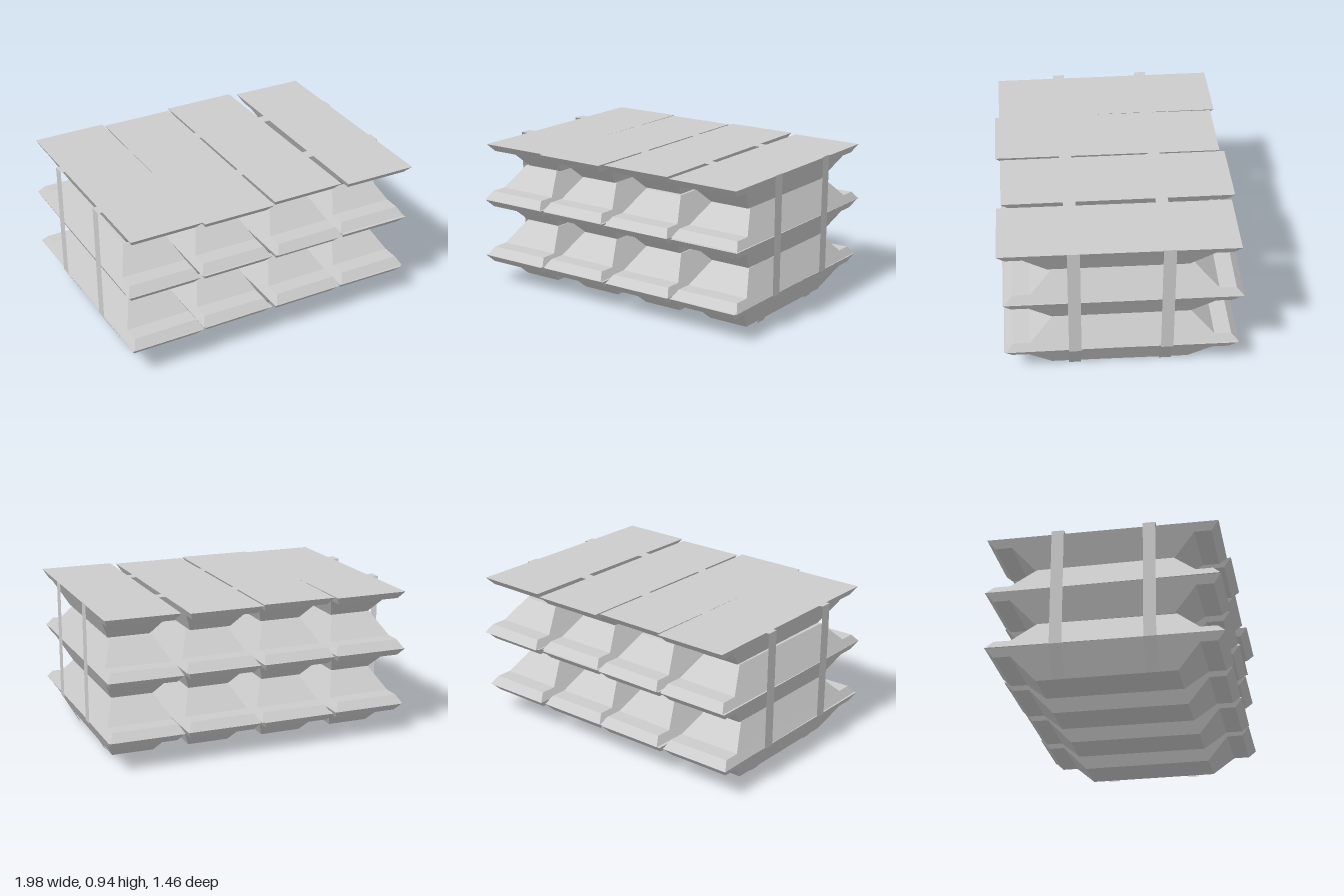
import * as THREE from 'three';

// Half-widths and half-lengths of an ingot from its wide face (y = 0) to its narrow face
const SECTIONS = [
  { y: 0, hx: 0.235, hz: 0.712 },
  { y: 0.05, hx: 0.207, hz: 0.665 },
  { y: 0.05, hx: 0.207, hz: 0.562 },
  { y: 0.185, hx: 0.132, hz: 0.422 },
];

function geometryFrom(positions) {
  const g = new THREE.BufferGeometry();
  g.setAttribute('position', new THREE.Float32BufferAttribute(positions, 3));
  g.computeVertexNormals();
  return g;
}

// Tapered bar with a carrying lug at each end, lofted through the sections
function ingotGeometry() {
  const rings = SECTIONS.map(({ y, hx, hz }) => [
    [-hx, y, hz], [hx, y, hz], [hx, y, -hz], [-hx, y, -hz],
  ]);
  const pos = [];
  const quad = (a, b, c, d) => pos.push(...a, ...b, ...c, ...a, ...c, ...d);
  for (let i = 0; i < rings.length - 1; i++) {
    for (let k = 0; k < 4; k++) {
      const n = (k + 1) % 4;
      quad(rings[i][k], rings[i][n], rings[i + 1][n], rings[i + 1][k]);
    }
  }
  const [b0, b1, b2, b3] = rings[0];
  quad(b3, b2, b1, b0);
  quad(...rings[rings.length - 1]);
  return geometryFrom(pos);
}

// Thin ribbon following an x/y path, running along z
function strapGeometry(path, width) {
  const pos = [];
  const h = width / 2;
  for (let i = 0; i < path.length - 1; i++) {
    const [x0, y0] = path[i];
    const [x1, y1] = path[i + 1];
    pos.push(x0, y0, h, x1, y1, h, x1, y1, -h, x0, y0, h, x1, y1, -h, x0, y0, -h);
  }
  return geometryFrom(pos);
}

export function createModel() {
  const model = new THREE.Group();
  const metal = new THREE.MeshStandardMaterial({ color: 0xcccccc });
  metal.name = 'paleMetal';
  metal.flatShading = true;
  metal.side = THREE.DoubleSide;

  // Layers: height of the wide face, whether it faces up, and [x, z, yaw] of each ingot
  const layers = [
    { y: 0.193, up: true, bars: [[-0.738, 0.015, 0], [-0.247, 0.005, 0.005], [0.247, 0.01, 0], [0.74, 0.008, -0.012]] },
    { y: 0.195, up: false, bars: [[-0.735, 0.012, 0.012], [-0.243, 0.005, -0.015], [0.25, 0.01, 0.01], [0.742, 0, 0]] },
    { y: 0.565, up: true, bars: [[-0.738, 0, 0], [-0.247, 0, 0], [0.245, 0.005, 0], [0.742, 0, -0.008]] },
    { y: 0.568, up: false, bars: [[-0.735, 0, -0.01], [-0.247, -0.006, -0.012], [0.255, 0.015, 0], [0.742, -0.015, -0.015]] },
    { y: 0.938, up: true, bars: [[-0.718, -0.008, 0.004], [-0.247, 0.018, -0.006], [0.238, -0.01, 0], [0.748, 0.02, -0.01]] },
  ];
  const ingot = ingotGeometry();
  layers.forEach(({ y, up, bars }, i) => {
    const layer = new THREE.Group();
    layer.name = `ingotLayer${i + 1}`;
    bars.forEach(([x, z, yaw], k) => {
      const bar = new THREE.Mesh(ingot, metal);
      bar.name = `ingot${k + 1}`;
      bar.position.set(x, y, z);
      bar.rotation.set(0, yaw, up ? Math.PI : 0, 'YXZ');
      layer.add(bar);
    });
    model.add(layer);
  });

  // Straps over the top, down both sides and tucked along the bottom slopes
  const path = [
    [0.877, 0], [0.986, 0.19], [0.988, 0.944], [-0.985, 0.944], [-0.98, 0.19], [-0.874, 0.006],
  ];
  const strap = strapGeometry(path, 0.076);
  [['frontStrap', 0.29], ['backStrap', -0.27]].forEach(([name, z]) => {
    const mesh = new THREE.Mesh(strap, metal);
    mesh.name = name;
    mesh.position.z = z;
    model.add(mesh);
  });
  return model;
}
